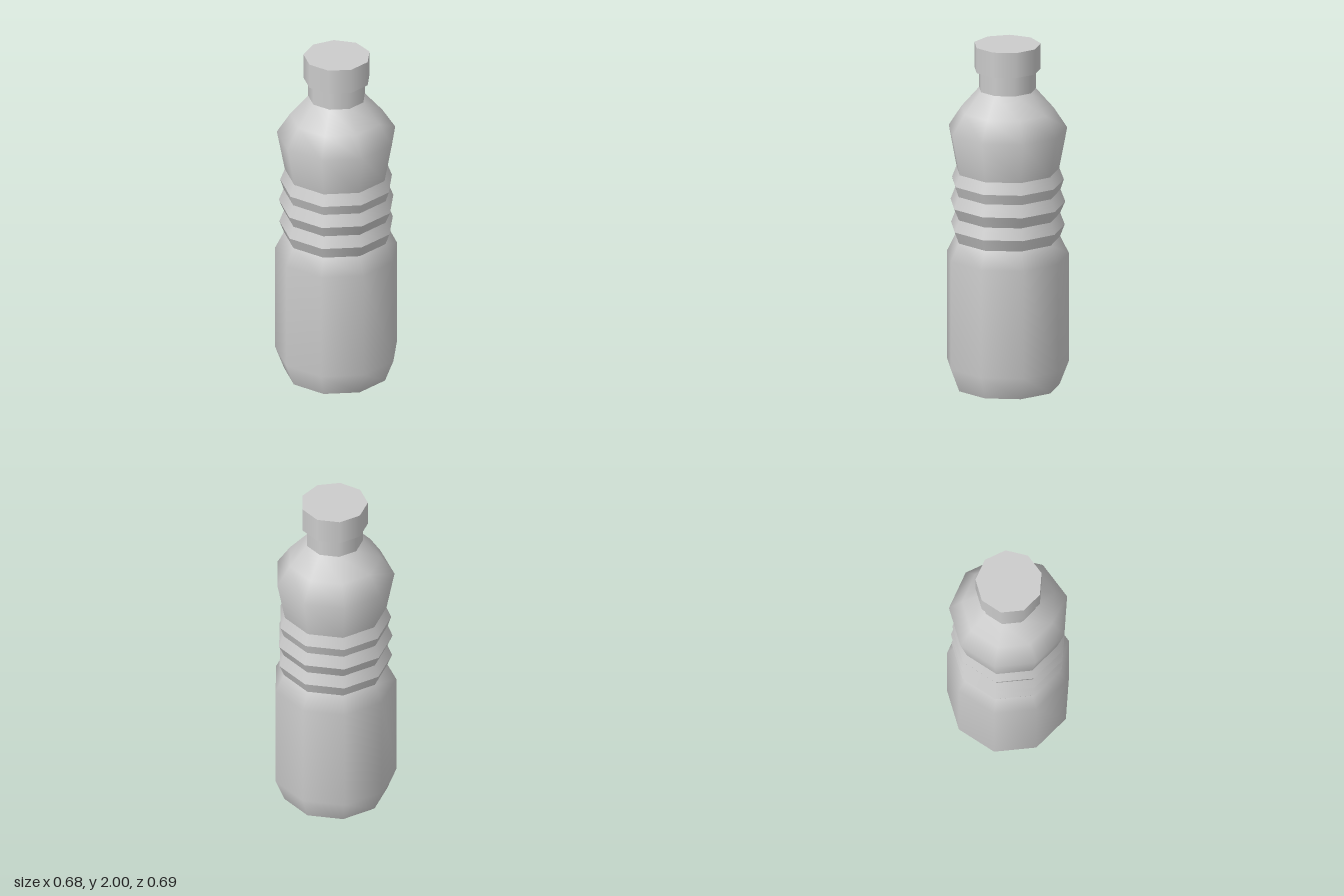
import * as THREE from 'three';

const SIDES = 9;

export function createModel() {
  const bottle = new THREE.Group();
  bottle.name = 'bottle';
  const material = new THREE.MeshStandardMaterial({ color: 0xcccccc });

  // Nine-sided band of revolution, smooth within itself and sharp at its ends;
  // one corner points to -x.
  function band(name, profile, parent = bottle) {
    const points = profile.map(([r, y]) => new THREE.Vector2(r, y));
    const mesh = new THREE.Mesh(new THREE.LatheGeometry(points, SIDES, -Math.PI / 2), material);
    mesh.name = name;
    parent.add(mesh);
  }

  // Base and lower body
  band('base', [[0, 0], [0.298, 0]]);
  band('lowerBody', [[0.298, 0], [0.35, 0.135], [0.35, 0.765], [0.3, 0.867]]);

  // Grip ribs: every slope is its own band so the ridges stay crisp
  const ribs = new THREE.Group();
  ribs.name = 'gripRibs';
  bottle.add(ribs);
  const ribProfile = [
    [0.3, 0.867], [0.326, 0.935], [0.3, 1.003], [0.329, 1.07],
    [0.302, 1.14], [0.321, 1.2], [0.295, 1.267],
  ];
  for (let i = 0; i < ribProfile.length - 1; i++) {
    band('ribSlope', [ribProfile[i], ribProfile[i + 1]], ribs);
  }

  // Shoulder and neck
  band('shoulder', [[0.295, 1.267], [0.34, 1.503], [0.265, 1.62], [0.163, 1.738]]);
  band('neck', [[0.163, 1.738], [0.163, 1.853]]);

  // Cap: underside, wall and lid
  const cap = new THREE.Group();
  cap.name = 'cap';
  bottle.add(cap);
  band('capUnderside', [[0.163, 1.853], [0.19, 1.853]], cap);
  band('capWall', [[0.19, 1.853], [0.19, 2]], cap);
  band('capLid', [[0.19, 2], [0, 2]], cap);

  // Centre the odd-sided outline on x = 0
  bottle.children.forEach((part) => { part.position.x = 0.01; });
  return bottle;
}
